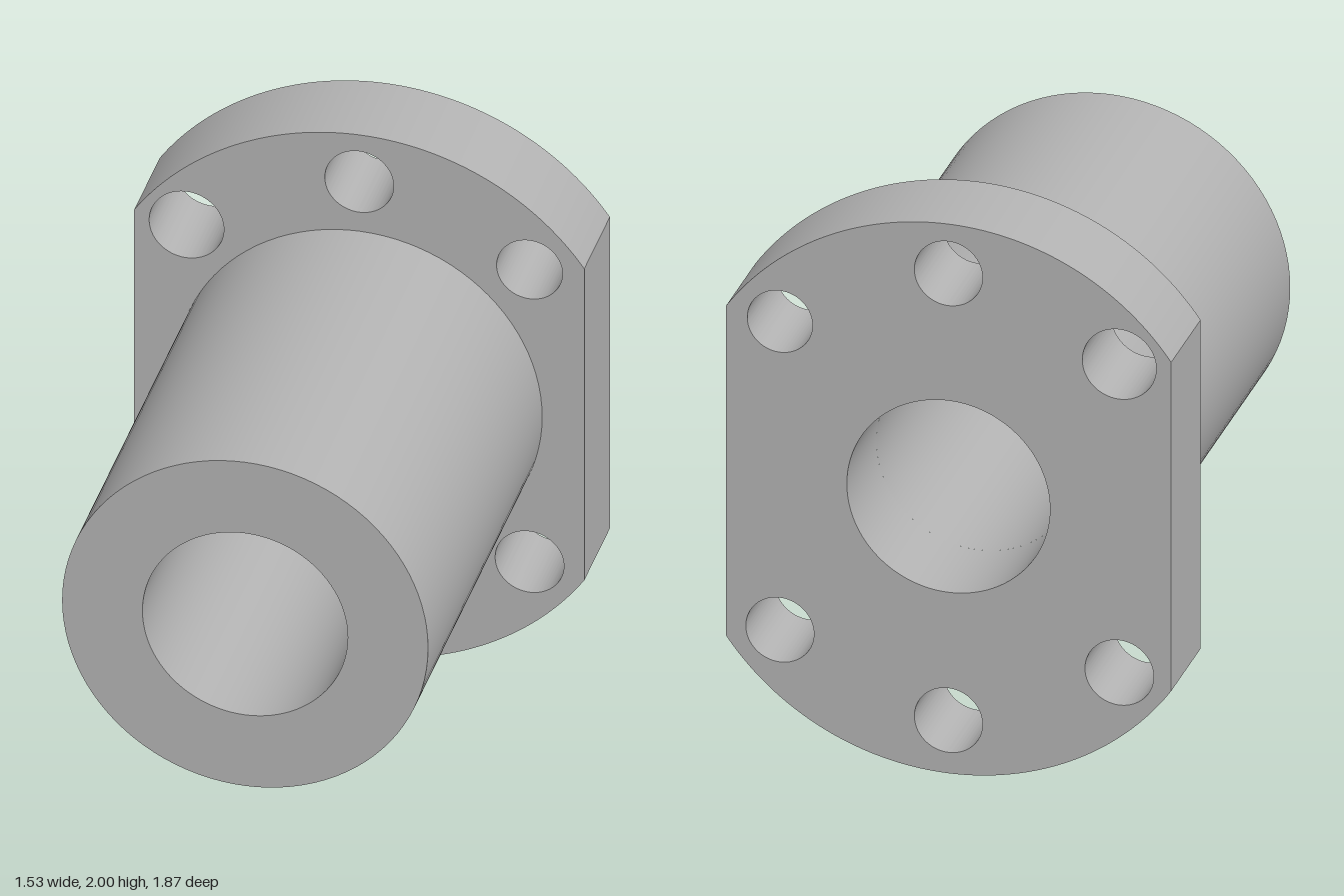
import * as THREE from 'three';
import { toCreasedNormals } from 'three/addons/utils/BufferGeometryUtils.js';

const AXIS_Y = 1.008, BORE = 0.349, BARREL = 0.622;
const BACK = -0.933, STEP = -0.591, FRONT = 0.933;

export function createModel() {
  const group = new THREE.Group();
  const steel = new THREE.MeshStandardMaterial({ color: 0xb2b2b2 });
  steel.name = 'grey steel';

  const add = (name, geometry) => {
    const mesh = new THREE.Mesh(toCreasedNormals(geometry, 0.6), steel);
    mesh.name = name;
    group.add(mesh);
  };

  // Flange: round plate with two flat sides
  const halfWidth = 0.765, radius = 0.93;
  const a = Math.acos(halfWidth / radius);
  const outline = new THREE.Shape();
  outline.absarc(0, 2 - radius, radius, a, Math.PI - a, false);
  outline.absarc(0, radius, radius, Math.PI + a, Math.PI * 2 - a, false);
  outline.closePath();

  // Centre bore and six bolt holes: x, y, radius
  const holes = [
    [0, AXIS_Y, BORE],
    [0, 1.82, 0.117], [0, 0.193, 0.117],
    [-0.587, 1.568, 0.127], [0.579, 1.568, 0.112],
    [-0.587, 0.445, 0.118], [0.579, 0.445, 0.117],
  ];
  for (const [x, y, r] of holes) {
    outline.holes.push(new THREE.Path().absarc(x, y, r, 0, Math.PI * 2, true));
  }
  const flange = new THREE.ExtrudeGeometry(outline, {
    depth: STEP - BACK, bevelEnabled: false, curveSegments: 64,
  });
  flange.translate(0, 0, BACK);
  add('flange', flange);

  // Barrel: hollow tube, open where it meets the flange
  const profile = [
    [BARREL, STEP], [BARREL, FRONT], [BORE, FRONT], [BORE, STEP],
  ].map(([r, z]) => new THREE.Vector2(r, z));
  const barrel = new THREE.LatheGeometry(profile, 96);
  barrel.rotateX(Math.PI / 2);
  barrel.translate(0, AXIS_Y, 0);
  add('barrel', barrel);

  return group;
}
